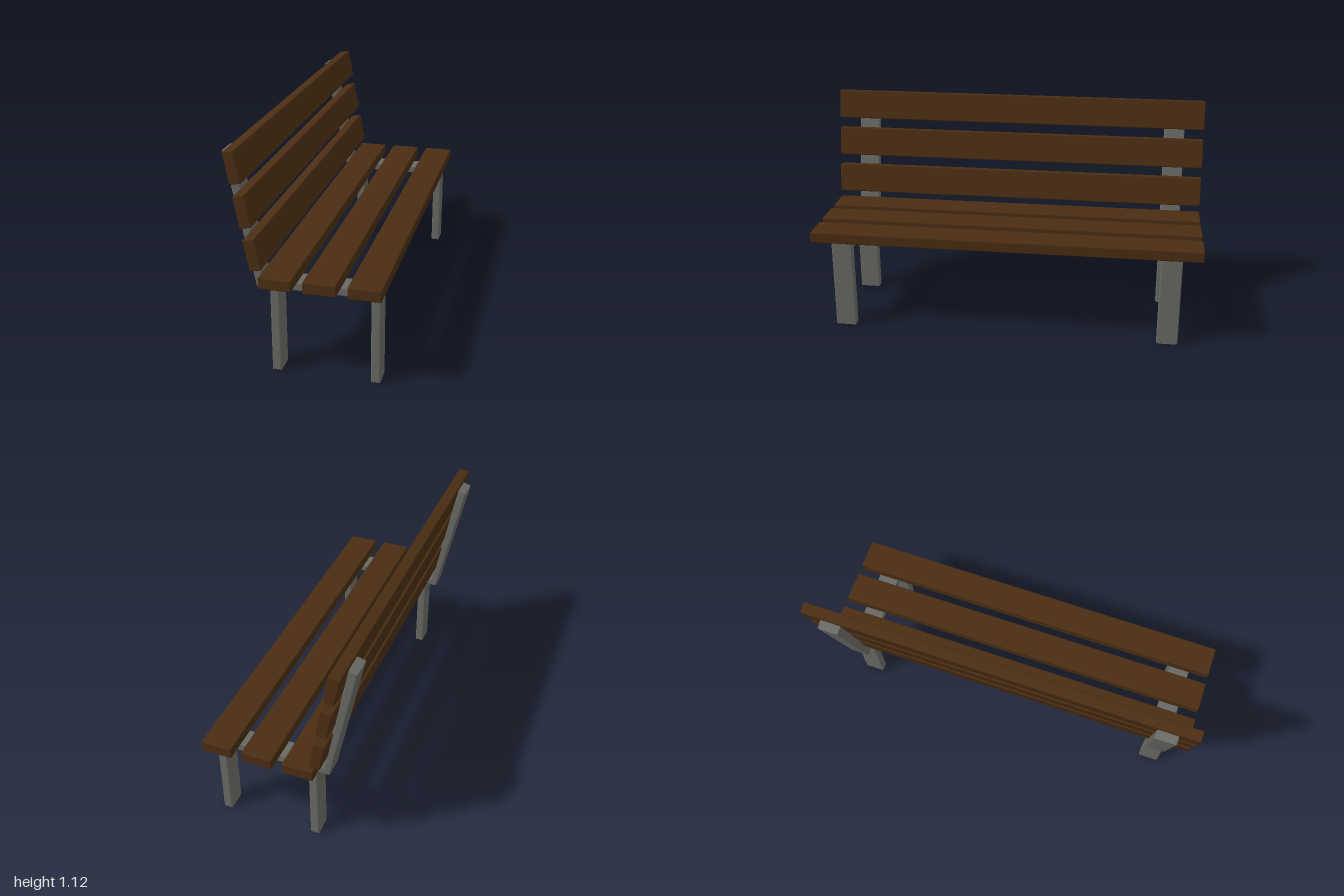
import * as THREE from 'three';
import { RoundedBoxGeometry } from 'three/addons/geometries/RoundedBoxGeometry.js';

const BEVEL = 0.006;

export function createModel() {
  const bench = new THREE.Group();
  bench.name = 'bench';
  const wood = new THREE.MeshStandardMaterial({ color: 0x4a2d13 });
  const metal = new THREE.MeshStandardMaterial({ color: 0x686964 });

  // Plank running the length of the bench, leaning about z
  function addPlank(name, width, height, x, y, lean = 0) {
    const plank = new THREE.Mesh(new RoundedBoxGeometry(width, height, 2, 2, 0.006), wood);
    plank.name = name;
    plank.position.set(x, y, 0);
    plank.rotation.z = lean;
    bench.add(plank);
  }

  for (let i = 0; i < 3; i++) {
    addPlank(`seatPlank${i + 1}`, 0.155, 0.057, -0.118 + i * 0.207, 0.501);
    addPlank(`backPlank${i + 1}`, 0.056, 0.153, -0.218 - i * 0.038, 0.635 + i * 0.2025, 0.19);
  }

  // Side frame outline: leaning back post, seat rail and two legs
  const outline = new THREE.Shape([
    [-0.237, 0.431], [-0.174, 0.431], [-0.174, 0], [-0.13, 0],
    [-0.13, 0.422], [-0.127, 0.428], [-0.12, 0.431],
    [0.294, 0.431], [0.301, 0.428], [0.304, 0.422],
    [0.304, 0], [0.348, 0], [0.348, 0.473], [-0.207, 0.473],
    [-0.334, 1.092], [-0.376, 1.079],
  ].map(([x, y]) => new THREE.Vector2(x, y)));
  const depth = 0.108;
  const frameGeometry = new THREE.ExtrudeGeometry(outline, {
    depth: depth - 2 * BEVEL,
    bevelEnabled: true,
    bevelSize: BEVEL,
    bevelThickness: BEVEL,
    bevelOffset: -BEVEL,
    bevelSegments: 2,
  });
  frameGeometry.translate(0, 0, BEVEL - depth / 2);

  for (const side of [-1, 1]) {
    const frame = new THREE.Mesh(frameGeometry, metal);
    frame.name = side > 0 ? 'frontSideFrame' : 'rearSideFrame';
    frame.position.z = side * 0.845;
    bench.add(frame);
  }
  return bench;
}
